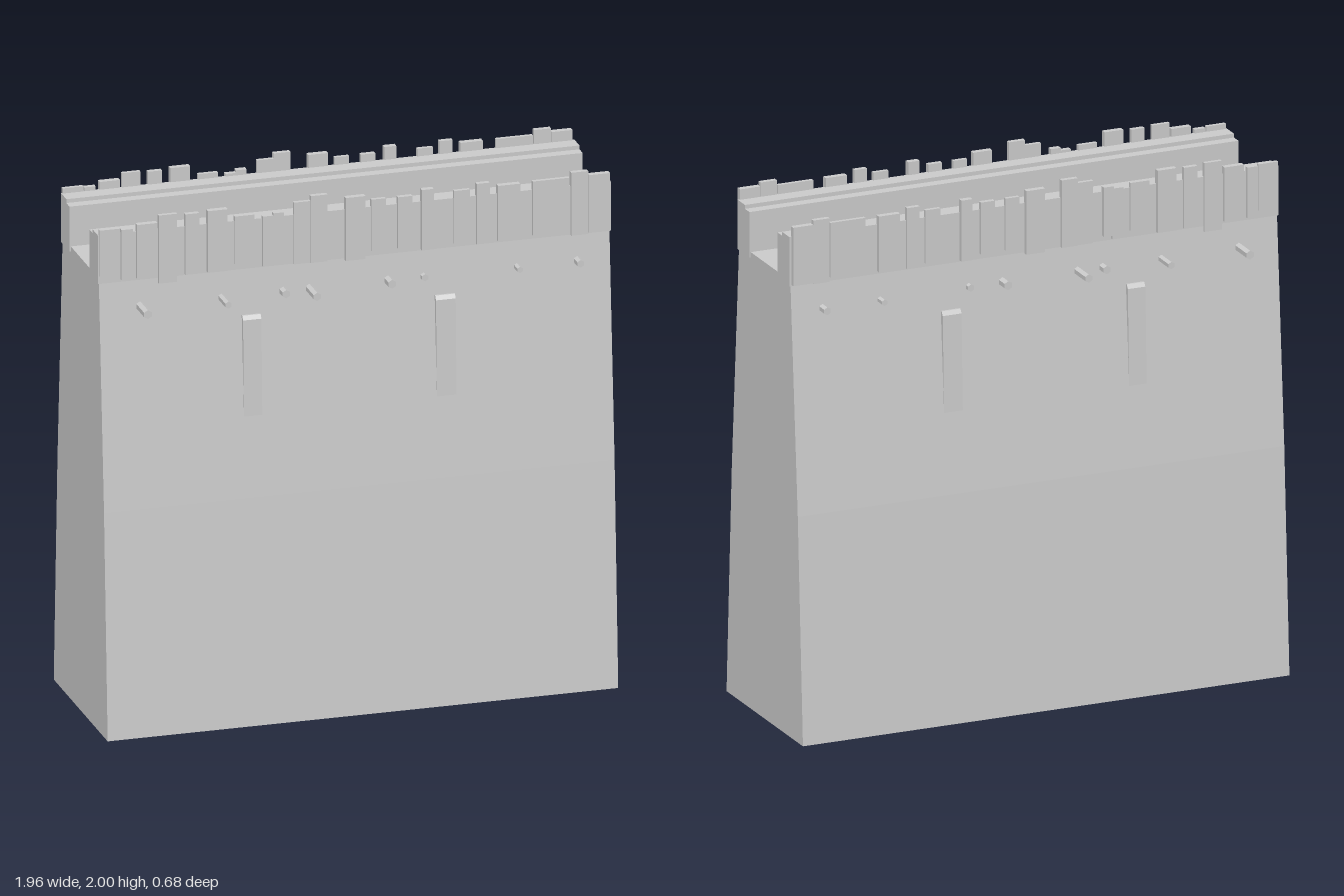
import * as THREE from 'three';

const material = new THREE.MeshStandardMaterial({ color: 0xcccccc, flatShading: true, side: THREE.DoubleSide });

function add(parent, name, geometry) {
  const mesh = new THREE.Mesh(geometry, material);
  mesh.name = name;
  parent.add(mesh);
  return mesh;
}

// Extrude a (z, y) outline along x, from x0 to x1
function extrudeX(points, x0, x1) {
  const shape = new THREE.Shape(points.map(([z, y]) => new THREE.Vector2(-z, y)));
  const geo = new THREE.ExtrudeGeometry(shape, { depth: x1 - x0, bevelEnabled: false });
  return geo.rotateY(Math.PI / 2).translate(x0, 0, 0);
}

// Half-depth of the battered wall, from base to walkway
const half = [[0.34, 0], [0.294, 0.87], [0.228, 1.76]];
const outline = [...half, ...half.map(([z, y]) => [-z, y]).reverse()];
const X0 = -0.975, X1 = 0.97;

// Wall skin: faces, walkway and ends, open underneath
function wallBody(group) {
  const pos = [];
  for (let i = 0; i < outline.length - 1; i++) {
    const [za, ya] = outline[i], [zb, yb] = outline[i + 1];
    pos.push(X0, ya, za, X1, ya, za, X1, yb, zb, X0, ya, za, X1, yb, zb, X0, yb, zb);
  }
  const skin = new THREE.BufferGeometry();
  skin.setAttribute('position', new THREE.Float32BufferAttribute(pos, 3));
  skin.computeVertexNormals();
  add(group, 'wallFaces', skin);
  const end = new THREE.Shape(outline.map(([z, y]) => new THREE.Vector2(z, y)));
  for (const [x, turn, name] of [[X1, 1, 'leftEnd'], [X0, -1, 'rightEnd']]) {
    const mesh = add(group, name, new THREE.ShapeGeometry(end));
    mesh.rotation.y = turn * Math.PI / 2;
    mesh.position.x = x;
  }
}

// Planks: x start, x end, bottom, top
const planks = [
  [-0.975, -0.897, 1.77, 1.95], [-0.893, -0.85, 1.75, 1.945], [-0.835, -0.757, 1.75, 1.96],
  [-0.75, -0.68, 1.72, 1.985], [-0.65, -0.597, 1.745, 1.98], [-0.565, -0.49, 1.745, 1.985],
  [-0.46, -0.385, 1.765, 1.95], [-0.355, -0.31, 1.745, 1.94], [-0.315, -0.275, 1.76, 1.95],
  [-0.235, -0.172, 1.74, 1.98], [-0.172, -0.108, 1.74, 2.0], [-0.04, 0.035, 1.735, 1.98],
  [0.06, 0.115, 1.76, 1.96], [0.16, 0.215, 1.76, 1.96], [0.25, 0.295, 1.745, 1.98],
  [0.375, 0.435, 1.755, 1.96], [0.46, 0.51, 1.745, 1.98], [0.54, 0.625, 1.75, 1.965],
  [0.675, 0.815, 1.755, 1.965], [0.82, 0.885, 1.74, 1.985], [0.887, 0.967, 1.745, 1.97],
];

// Pegs: x, how far out they reach, radius
const pegs = [
  [-0.82, 0.335, 0.017], [-0.51, 0.325, 0.014], [-0.275, 0.275, 0.016], [-0.175, 0.335, 0.016],
  [0.125, 0.287, 0.017], [0.26, 0.256, 0.014], [0.615, 0.278, 0.012], [0.845, 0.28, 0.015],
];

// Everything on one long side; s is +1 for the front, -1 for the back
function buildSide(s) {
  const side = new THREE.Group();
  side.name = s > 0 ? 'frontSide' : 'backSide';

  // Stepped parapet along the walkway edge
  const parapet = [[0.125, 1.74], [0.232, 1.74], [0.232, 1.93], [0.165, 1.93], [0.165, 1.915], [0.125, 1.915]];
  add(side, 'parapet', extrudeX(parapet.map(([z, y]) => [z * s, y]), -0.98, 0.975));

  // Uneven planks over the parapet
  planks.forEach(([a, b, y0, y1], i) => {
    const outer = 0.24 + 0.004 * (i % 3);
    const plank = add(side, 'plank', new THREE.BoxGeometry(b - a, y1 - y0, outer - 0.225));
    plank.position.set((a + b) / 2, (y0 + y1) / 2, s * (outer + 0.225) / 2);
  });

  // Protruding beam ends
  for (const [x, reach, r] of pegs) {
    const peg = add(side, 'peg', new THREE.CylinderGeometry(r, r, reach - 0.2, 6));
    peg.rotation.x = Math.PI / 2;
    peg.position.set(x, 1.641, s * (reach + 0.2) / 2);
  }

  // Slim buttresses that fade into the slope
  const rib = [[0.22, 1.565], [0.25, 1.565], [0.26, 1.55], [0.271, 1.18], [0.22, 1.18]];
  for (const [a, b] of [[-0.435, -0.365], [0.3, 0.375]]) {
    add(side, 'buttress', extrudeX(rib.map(([z, y]) => [z * s, y]), a, b));
  }
  return side;
}

export function createModel() {
  const model = new THREE.Group();
  model.name = 'fortifiedWall';
  const body = new THREE.Group();
  body.name = 'wallBody';
  wallBody(body);
  model.add(body, buildSide(1), buildSide(-1));
  return model;
}
